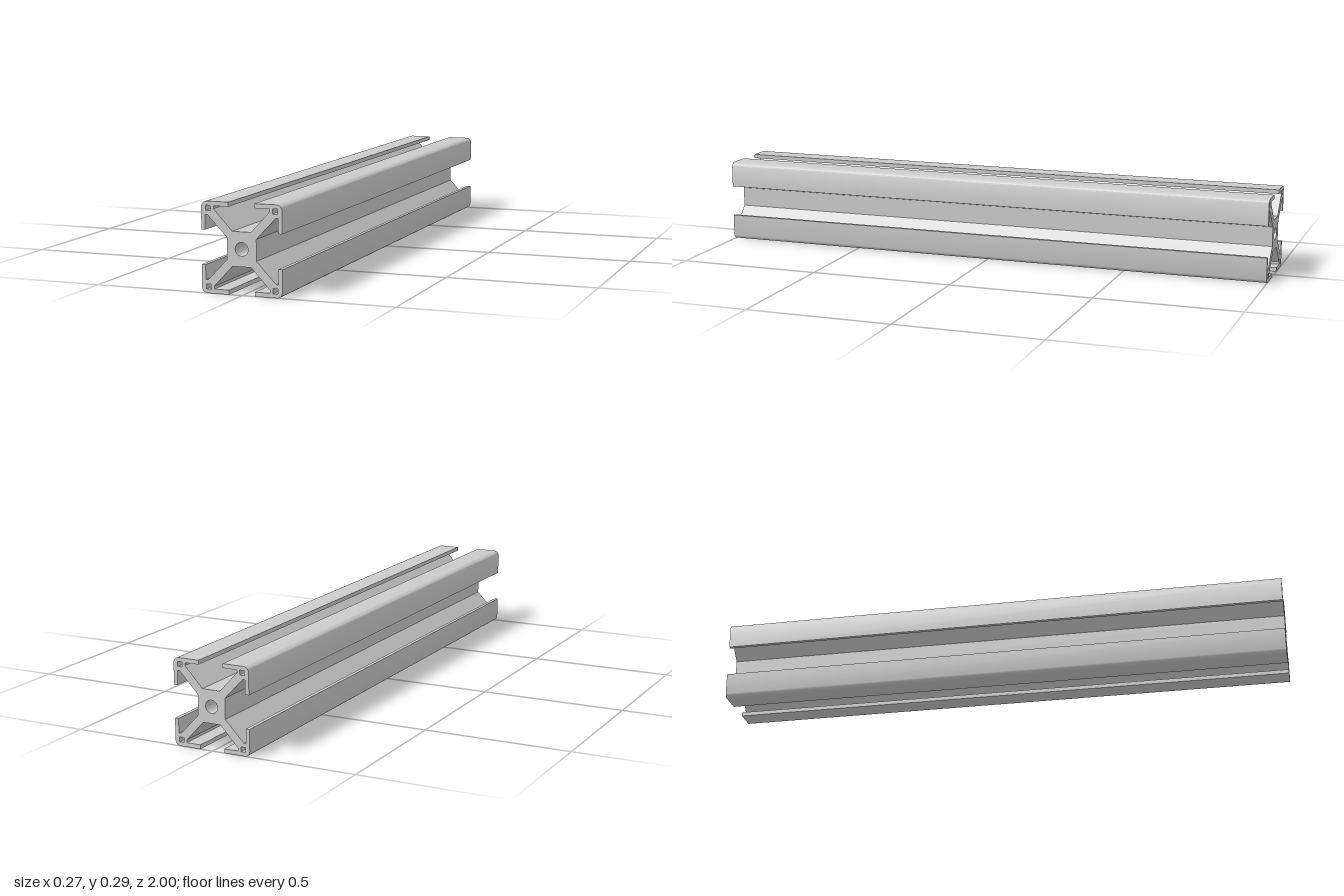
import * as THREE from 'three';
import { toCreasedNormals } from 'three/addons/utils/BufferGeometryUtils.js';

const W = 0.135, H = 0.144, R = 0.018, LENGTH = 2;

// One quarter of the cross-section, running counter-clockwise from the right of the core
function quarterOutline() {
  const corner = [];
  for (let i = 0; i <= 6; i++) {
    const a = (i / 6) * Math.PI / 2;
    corner.push([W - R + R * Math.cos(a), H - R + R * Math.sin(a)]);
  }
  return [
    [0.049, 0.034], [0.114, 0.102],                  // lower edge of the diagonal web
    [0.122, 0.102], [0.122, 0.0545], [W, 0.0545],    // side lip
    ...corner,                                       // rounded outer corner
    [0.0435, H], [0.0435, 0.13], [0.0935, 0.13],     // top lip
    [0.0935, 0.121], [0.031, 0.0545],                // upper edge of the diagonal web
  ];
}

export function createModel() {
  const group = new THREE.Group();
  group.name = 'slottedExtrusion';

  // Mirror the quarter into all four, reversing where the mirror flips the direction
  const quadrants = [[1, 1], [-1, 1], [-1, -1], [1, -1]];
  const outline = quadrants.flatMap(([sx, sy]) => {
    const points = quarterOutline().map(([x, y]) => new THREE.Vector2(x * sx, y * sy));
    return sx * sy > 0 ? points : points.reverse();
  });
  const profile = new THREE.Shape(outline);

  // Round bore through the core
  profile.holes.push(new THREE.Path().absarc(0, 0, 0.0215, 0, Math.PI * 2, true));

  // Square channel in each corner
  for (const [sx, sy] of quadrants) {
    const square = [[0.104, 0.115], [0.104, 0.131], [0.12, 0.131], [0.12, 0.115]];
    profile.holes.push(new THREE.Path(square.map(([x, y]) => new THREE.Vector2(x * sx, y * sy))));
  }

  const geometry = new THREE.ExtrudeGeometry(profile, {
    depth: LENGTH, bevelEnabled: false, curveSegments: 32,
  });
  geometry.translate(0, H, -LENGTH / 2);

  const rail = new THREE.Mesh(
    toCreasedNormals(geometry, 0.5),
    new THREE.MeshStandardMaterial({ color: 0xcccccc }),
  );
  rail.name = 'rail';
  group.add(rail);
  return group;
}
